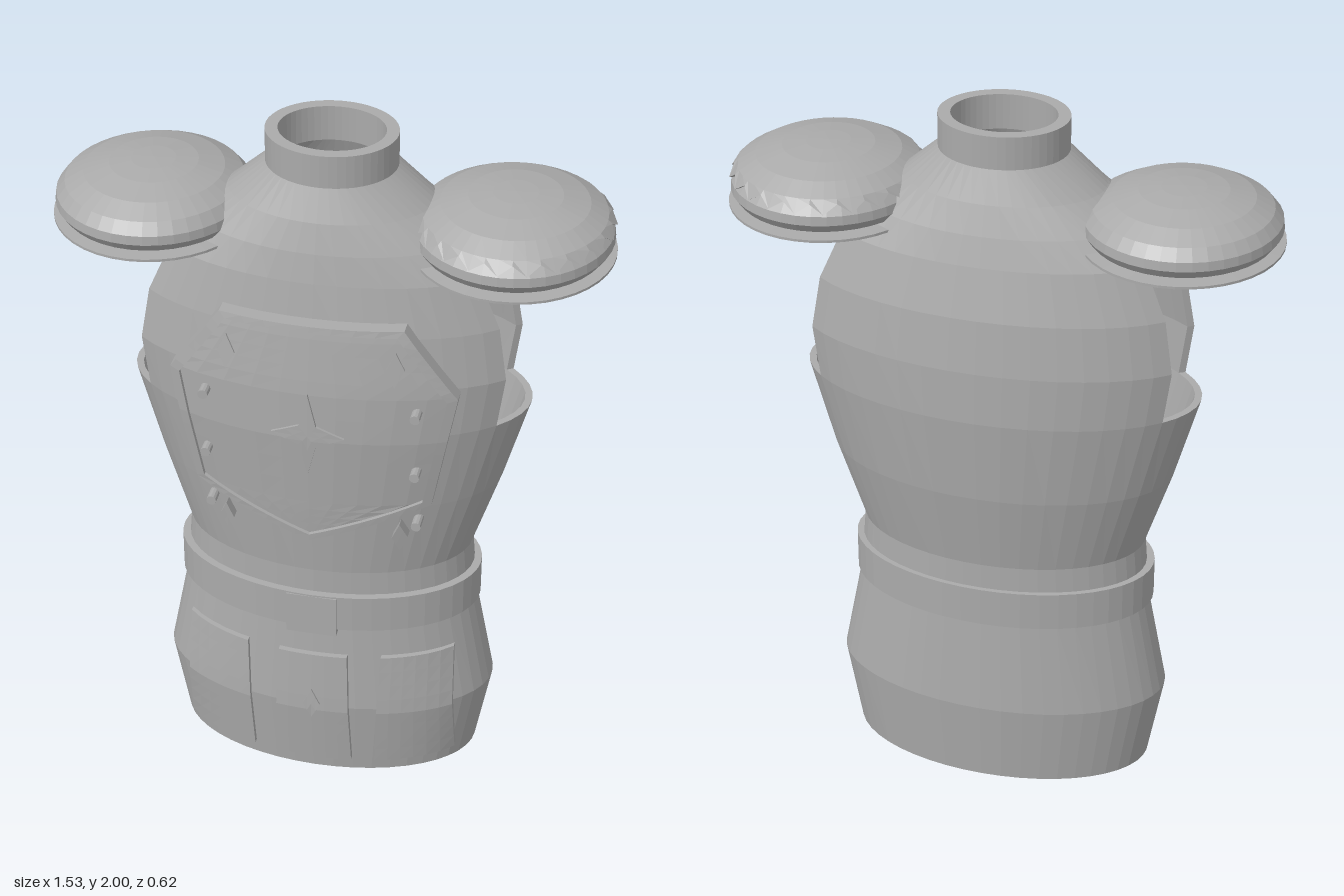
import * as THREE from 'three';

const grey = new THREE.MeshStandardMaterial({ color: 0xaaaaaa, flatShading: true, side: THREE.DoubleSide });
grey.name = 'plain grey';

const SEG = 48;

// elliptical sections of the torso: [height, half width, z centre, half depth]
const BODY = [
  [0, 0.44, -0.012, 0.243], [0.25, 0.485, -0.01, 0.265], [0.54, 0.428, -0.01, 0.245],
  [0.73, 0.412, -0.008, 0.242], [0.97, 0.49, -0.018, 0.272], [1.22, 0.56, -0.02, 0.29],
  [1.37, 0.583, -0.02, 0.285], [1.52, 0.555, -0.02, 0.265], [1.66, 0.485, -0.015, 0.235],
  [1.74, 0.39, -0.012, 0.215], [1.82, 0.28, -0.01, 0.19], [1.91, 0.175, -0.01, 0.155],
];

function named(geometry, name) {
  geometry.computeVertexNormals();
  const mesh = new THREE.Mesh(geometry, grey);
  mesh.name = name;
  return mesh;
}

// front surface of the torso at (x, y)
function frontZ(x, y) {
  let i = 0;
  while (i < BODY.length - 2 && y > BODY[i + 1][0]) i++;
  const t = (y - BODY[i][0]) / (BODY[i + 1][0] - BODY[i][0]);
  const [, a, c, b] = BODY[i].map((v, k) => THREE.MathUtils.lerp(v, BODY[i + 1][k], t));
  return c + b * Math.sqrt(Math.max(0, 1 - (x / a) ** 2));
}

// walled elliptical tube; isOpen(row, column) leaves cells out and closes their rims
function shell(rings, wall, name, isOpen = () => false) {
  const pos = [];
  const P = (r, k, inner) => {
    const [y, a, c, b] = rings[r], t = (k / SEG) * Math.PI * 2, w = inner ? wall : 0;
    return [(a - w) * Math.cos(t), y, c + (b - w) * Math.sin(t)];
  };
  const quad = (a, b, c, d) => pos.push(...a, ...b, ...c, ...a, ...c, ...d);
  const solid = (r, k) => r >= 0 && r < rings.length - 1 && !isOpen(r, (k + SEG) % SEG);
  for (let r = 0; r < rings.length - 1; r++) {
    for (let k = 0; k < SEG; k++) {
      if (!solid(r, k)) continue;
      quad(P(r, k), P(r + 1, k), P(r + 1, k + 1), P(r, k + 1));
      quad(P(r, k, 1), P(r, k + 1, 1), P(r + 1, k + 1, 1), P(r + 1, k, 1));
      const edges = [
        [r - 1, k, r, k, r, k + 1], [r + 1, k, r + 1, k + 1, r + 1, k],
        [r, k - 1, r + 1, k, r, k], [r, k + 1, r, k + 1, r + 1, k + 1],
      ];
      for (const [nr, nk, r0, k0, r1, k1] of edges) {
        if (!solid(nr, nk)) quad(P(r0, k0), P(r1, k1), P(r1, k1, 1), P(r0, k0, 1));
      }
    }
  }
  const g = new THREE.BufferGeometry();
  g.setAttribute('position', new THREE.Float32BufferAttribute(pos, 3));
  return named(g, name);
}

// slab hugging the torso front, corners given as bottom left, bottom right, top right, top left
function patch([bl, br, tr, tl], nx, ny, lift, name, sink = 0.01) {
  const g = new THREE.BoxGeometry(1, 1, 1, nx, ny, 1), p = g.attributes.position;
  for (let i = 0; i < p.count; i++) {
    const u = p.getX(i) + 0.5, v = p.getY(i) + 0.5;
    const at = (k) => (bl[k] * (1 - u) + br[k] * u) * (1 - v) + (tl[k] * (1 - u) + tr[k] * u) * v;
    const x = at(0), y = at(1);
    p.setXYZ(i, x, y, frontZ(x, y) + (p.getZ(i) > 0 ? lift : -sink));
  }
  return named(g, name);
}

const diamond = (x, y, w, h, lift, name) =>
  patch([[x, y - h], [x + w, y], [x, y + h], [x - w, y]], 2, 2, lift, name);

function lathe(points, seg, name) {
  return named(new THREE.LatheGeometry(points.map(([x, y]) => new THREE.Vector2(x, y)), seg), name);
}

// rounded shoulder pad over a shallow disc; one carries a zigzag-edged cap
function shoulderPad(side) {
  const pad = new THREE.Group();
  pad.name = side > 0 ? 'leftShoulderPad' : 'rightShoulderPad';
  pad.add(lathe([[0, 1.7], [0.22, 1.705], [0.25, 1.72], [0.267, 1.745], [0.264, 1.77], [0.24, 1.8],
    [0.19, 1.828], [0.12, 1.847], [0.06, 1.854], [0, 1.856]], 40, 'padDome'));
  pad.add(lathe([[0, 1.665], [0.13, 1.669], [0.22, 1.683], [0.274, 1.7], [0.274, 1.707], [0.2, 1.711], [0, 1.711]], 40, 'padDisc'));
  if (side > 0) {
    const cap = lathe([[0.25, 1.778], [0.27, 1.778], [0.245, 1.812], [0.197, 1.84], [0.125, 1.86],
      [0.06, 1.867], [0, 1.869]], 44, 'zigzagCap');
    const p = cap.geometry.attributes.position;
    for (let i = 0; i < p.count; i++) {
      const ring = i % 7, column = Math.floor(i / 7);
      if (ring < 2 && column % 2) p.setXYZ(i, p.getX(i) * 0.95, 1.802, p.getZ(i) * 0.95);
    }
    cap.geometry.computeVertexNormals();
    pad.add(cap);
  }
  pad.scale.z = 1.06;
  pad.position.set(side * 0.49, 0, -0.016);
  return pad;
}

export function createModel() {
  const model = new THREE.Group();
  model.name = 'torsoArmour';

  // torso with an armhole on each side
  const armhole = (r, k) => {
    const c = Math.abs(Math.cos(((k + 0.5) / SEG) * Math.PI * 2));
    return BODY[r][0] >= 1.22 && BODY[r][0] < 1.74 && c > Math.cos(Math.PI / 6);
  };
  model.add(shell(BODY, 0.02, 'torso', armhole));
  model.add(shell([[1.9, 0.178, -0.01, 0.156], [2, 0.178, -0.01, 0.156]], 0.034, 'collar'));

  // belt and buckle
  model.add(shell([[0.54, 0.44, -0.005, 0.26], [0.655, 0.44, -0.005, 0.26]], 0.035, 'belt'));
  model.add(patch([[-0.075, 0.52], [0.07, 0.52], [0.07, 0.65], [-0.075, 0.65]], 1, 1, 0.025, 'buckle'));

  // hip pockets
  const pocket = (x0, x1, x2, x3, name) =>
    model.add(patch([[x0, 0.05], [x1, 0.05], [x2, 0.44], [x3, 0.44]], 6, 8, 0.016, name));
  pocket(-0.4, -0.18, -0.195, -0.39, 'rightPocket');
  pocket(-0.113, 0.113, 0.1, -0.1, 'middlePocket');
  pocket(0.18, 0.4, 0.39, 0.195, 'leftPocket');
  model.add(diamond(0, 0.27, 0.025, 0.05, 0.021, 'pocketDiamond'));

  // chest panel in three bands
  const rows = [[0.875, 0], [1.005, 0.33], [1.36, 0.395], [1.565, 0.25]];
  for (let i = 0; i < 3; i++) {
    const [y0, w0] = rows[i], [y1, w1] = rows[i + 1];
    model.add(patch([[-w0, y0], [w0, y0], [w1, y1], [-w1, y1]], 10, 5, 0.03, 'chestPanel'));
  }

  // raised frame around the panel
  const outline = [[0, 0.875], [0.33, 1.005], [0.395, 1.36], [0.25, 1.565],
    [-0.25, 1.565], [-0.395, 1.36], [-0.33, 1.005]];
  const inset = ([x, y]) => [x * 0.93, 1.23 + (y - 1.23) * 0.945];
  outline.forEach((a, i) => {
    const b = outline[(i + 1) % outline.length];
    model.add(patch([a, b, inset(b), inset(a)], 8, 1, 0.042, 'chestFrame'));
  });

  // four-pointed star in the middle of the panel
  const tips = [[0.1, 0], [0, 0.13], [-0.1, 0], [0, -0.13]];
  tips.forEach(([x, y], i) => {
    const [nx, ny] = tips[(i + 1) % 4], [px, py] = tips[(i + 3) % 4];
    const at = (dx, dy) => [dx, 1.235 + dy];
    const near = at((x + px) * 0.24, (y + py) * 0.24), far = at((x + nx) * 0.24, (y + ny) * 0.24);
    model.add(patch([at(0, 0), near, at(x, y), far], 2, 2, 0.037, 'chestStar'));
  });

  // mirrored studs, diamonds and shoulder pads
  for (const s of [-1, 1]) {
    for (const y of [1.32, 1.125, 0.93]) {
      const stud = named(new THREE.CylinderGeometry(0.014, 0.014, 0.08, 12), 'stud');
      stud.rotation.x = Math.PI / 2;
      stud.position.set(s * 0.29, y, frontZ(0.29, y) + (y > 1 ? 0.026 : 0.005));
      model.add(stud);
    }
    model.add(diamond(s * 0.245, 0.885, 0.021, 0.047, 0.03, 'lowerDiamond'));
    model.add(diamond(s * 0.23, 1.45, 0.025, 0.05, 0.035, 'upperDiamond'));
    model.add(shoulderPad(s));
  }
  return model;
}
